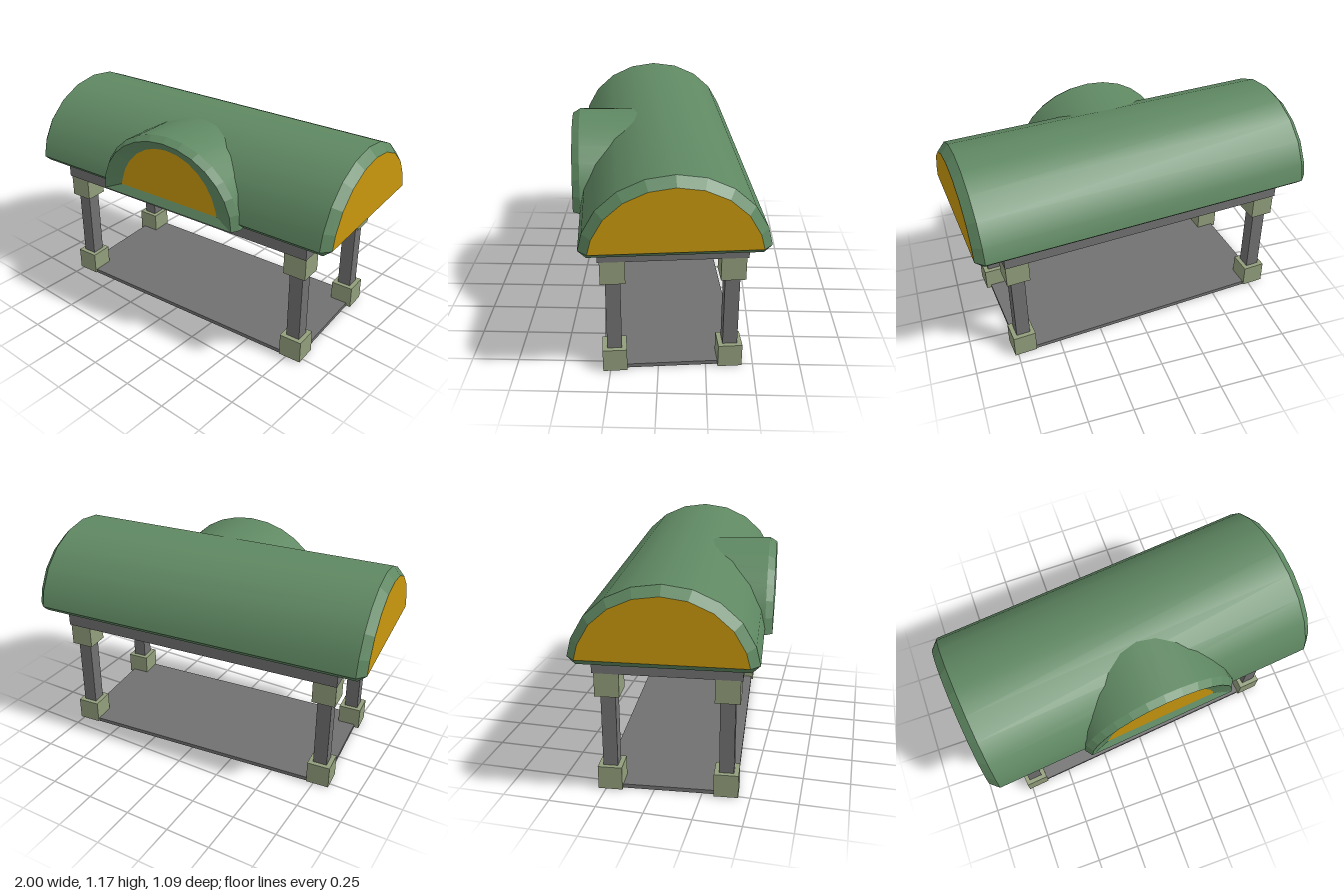
import * as THREE from 'three';

const material = (name, color, side = THREE.FrontSide) => {
  const m = new THREE.MeshStandardMaterial({ color, side });
  m.name = name;
  return m;
};

// Points of an arch from +halfWidth over the top to -halfWidth, with its feet at footY
function arch(halfWidth, top, footY, n) {
  const centreY = 0.76;
  return Array.from({ length: n + 1 }, (_, i) => {
    const a = (Math.PI * i) / n;
    const foot = i === 0 || i === n;
    return [halfWidth * Math.cos(a), foot ? footY : centreY + (top - centreY) * Math.sin(a)];
  });
}

// Surface between two rings of 3D points
function strip(a, b, { flat = false, closed = false } = {}) {
  const n = a.length, index = [];
  for (let i = 0; i < (closed ? n : n - 1); i++) {
    const j = (i + 1) % n;
    index.push(i, n + i, j, j, n + i, n + j);
  }
  let g = new THREE.BufferGeometry();
  g.setAttribute('position', new THREE.Float32BufferAttribute([...a, ...b].flat(), 3));
  g.setIndex(index);
  if (flat) g = g.toNonIndexed();
  g.computeVertexNormals();
  return g;
}

export function createModel() {
  const green = material('roof green', 0x5f8862, THREE.DoubleSide);
  const gold = material('panel gold', 0xc9980e, THREE.DoubleSide);
  const grey = material('stone grey', 0x717171);
  const sage = material('block sage', 0x929e7c);

  const model = new THREE.Group();
  model.name = 'archedShelter';
  const body = new THREE.Group();
  body.name = 'shelter';
  body.rotation.y = 0.095;
  model.add(body);

  const add = (name, geometry, mat, x = 0, y = 0, z = 0) => {
    const mesh = new THREE.Mesh(geometry, mat);
    mesh.name = name;
    mesh.position.set(x, y, z);
    body.add(mesh);
    return mesh;
  };
  const box = (name, w, y0, y1, d, mat, x = 0, z = 0) =>
    add(name, new THREE.BoxGeometry(w, y1 - y0, d), mat, x, (y0 + y1) / 2, z);
  const panel = (points) => new THREE.ShapeGeometry(new THREE.Shape(points.map((p) => new THREE.Vector2(...p))));

  // Floor and beam slab
  box('floor', 1.56, 0, 0.022, 0.71, grey);
  box('beamSlab', 1.62, 0.663, 0.758, 0.75, grey);

  // Four posts with blocks at both ends
  for (const x of [-0.743, 0.743]) {
    for (const z of [-0.302, 0.302]) {
      box('postShaft', 0.077, 0.13, 0.54, 0.077, grey, x, z);
      box('postFoot', 0.127, 0.004, 0.132, 0.127, sage, x, z);
      box('postCapital', 0.127, 0.535, 0.663, 0.127, sage, x, z);
    }
  }

  // Main vault, running along x
  const outer = arch(0.46, 1.17, 0.795, 10);
  const inner = arch(0.415, 1.125, 0.795, 10);
  const alongX = (points, x) => points.map(([z, y]) => [x, y, z]);
  add('roofVault', strip(alongX(outer, 0.92), alongX(outer, -0.92)), green);
  for (const s of [-1, 1]) {
    add('roofEndBevel', strip(alongX(outer, s * 0.92), alongX(inner, s * 0.965), { flat: true }), green);
    add('roofEndPanel', panel(inner), gold, s * 0.965).rotation.y = -Math.PI / 2;
  }

  // Bevelled underside of the roof
  const rim = [], base = [];
  for (const [sx, sz] of [[1, 1], [1, -1], [-1, -1], [-1, 1]]) {
    const corners = [[sx * 0.92, 0.795, sz * 0.46], [sx * 0.965, 0.795, sz * 0.415]];
    rim.push(...(sx * sz > 0 ? corners : corners.reverse()));
    base.push([sx * 0.92, 0.757, sz * 0.42], [sx * 0.92, 0.757, sz * 0.42]);
  }
  add('roofEaves', strip(rim, base, { flat: true, closed: true }), green);
  add('roofUnderside', new THREE.PlaneGeometry(1.84, 0.84), green, 0, 0.757, 0).rotation.x = Math.PI / 2;

  // Front dormer vault, cutting into the main roof
  const cx = 0.019, n = 14;
  const alongZ = (points, z) => points.map(([x, y]) => [x + cx, y, z]);
  const shell = arch(0.45, 1.16, 0.76, n);
  const lip = arch(0.425, 1.136, 0.76, n);
  const window = arch(0.32, 1.09, 0.803, n);
  add('dormerVault', strip(alongZ(shell, 0.46), alongZ(arch(0.45, 1.146, 0.76, n), 0)), green);
  add('dormerOuterBevel', strip(alongZ(shell, 0.46), alongZ(lip, 0.5), { flat: true }), green);
  add('dormerInnerBevel', strip(alongZ(lip, 0.5), alongZ(window, 0.475), { flat: true, closed: true }), green);
  add('dormerPanel', panel(window), gold, cx, 0, 0.475);
  add('dormerUnderside', strip(
    [[cx - 0.45, 0.76, 0.4], [cx - 0.45, 0.76, 0.46], [cx - 0.425, 0.76, 0.5]],
    [[cx + 0.45, 0.76, 0.4], [cx + 0.45, 0.76, 0.46], [cx + 0.425, 0.76, 0.5]]), green);

  return model;
}
